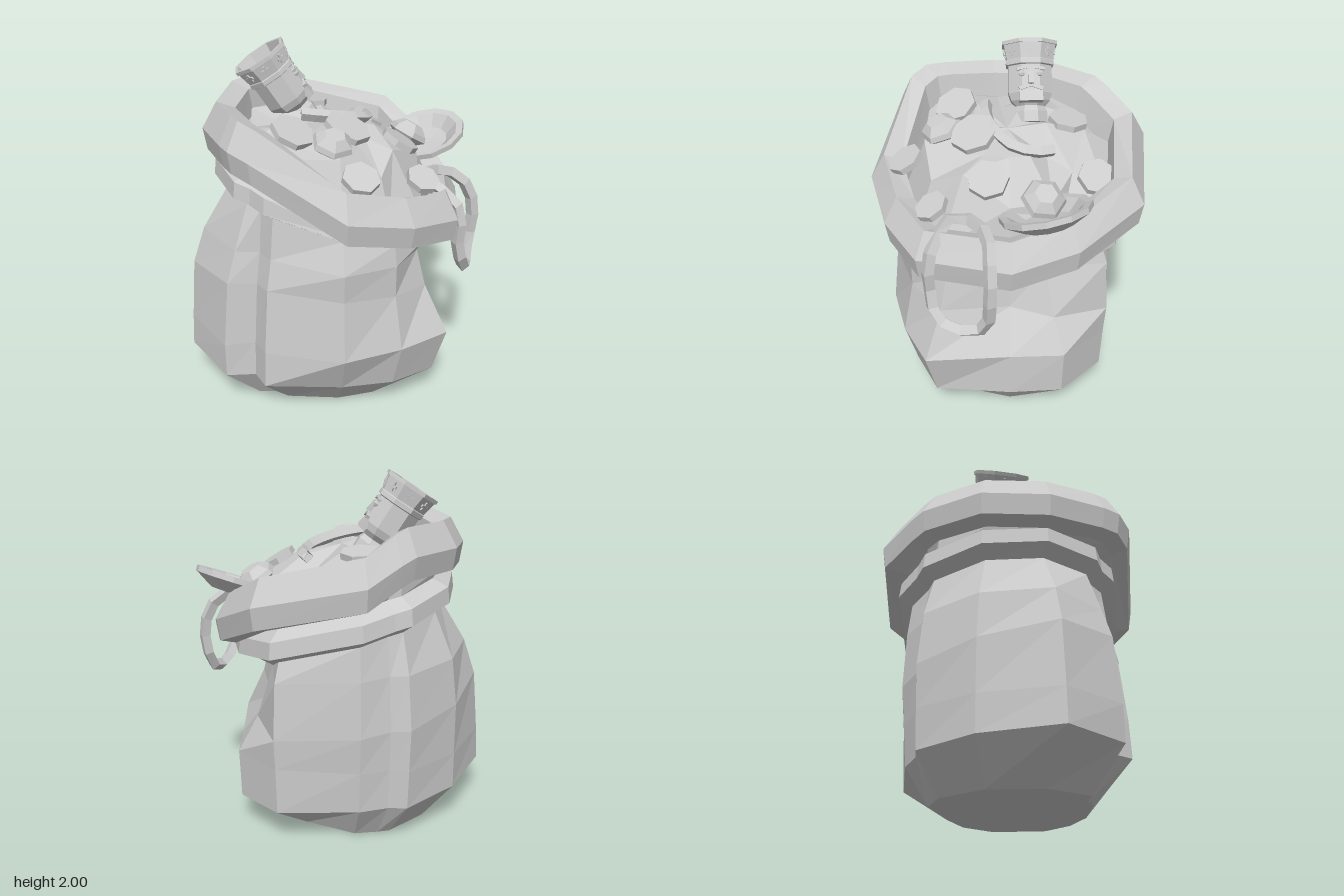
import * as THREE from 'three';

const grey = new THREE.MeshStandardMaterial({ color: 0xcccccc });
grey.name = 'plain grey';
const greyOpen = grey.clone();
greyOpen.side = THREE.DoubleSide;

// Faceted mesh with a name
function part(name, geometry, parent, material = grey) {
  const g = geometry.index ? geometry.toNonIndexed() : geometry;
  g.computeVertexNormals();
  const mesh = new THREE.Mesh(g, material);
  mesh.name = name;
  parent.add(mesh);
  return mesh;
}

// Skin closed rings of [x, y, z], from the lowest outward
function loft(rings) {
  const n = rings[0].length, index = [];
  for (let r = 0; r < rings.length - 1; r++) {
    for (let i = 0; i < n; i++) {
      const a = r * n + i, b = r * n + (i + 1) % n;
      index.push(a, a + n, b, b, a + n, b + n);
    }
  }
  const g = new THREE.BufferGeometry();
  g.setAttribute('position', new THREE.Float32BufferAttribute(rings.flat(2), 3));
  g.setIndex(index);
  return g;
}

// Column directions in degrees; narrow gaps make the cloth folds
const ANGLES = [0, 38, 62, 90, 128, 138, 146, 174, 206, 238, 246, 262, 304, 333];
const ring = (radius, height) => ANGLES.map((deg, i) => {
  const t = deg * Math.PI / 180, r = radius(i);
  const x = r * Math.cos(t), z = r * Math.sin(t);
  return [x, height(x, i, z), z];
});

// Radii of the sack by column, with height and slopes along x and z
const BODY = [
  { y: 0.015, sx: 0, sz: 0, r: [.46, .47, .44, .42, .47, .48, .55, .55, .52, .49, .47, .45, .37, .42] },
  { y: 0.21, sx: -0.04, sz: 0, r: [.59, .69, .62, .58, .69, .64, .77, .84, .70, .65, .59, .58, .65, .65] },
  { y: 0.45, sx: 0.02, sz: 0, r: [.59, .77, .69, .69, .68, .63, .77, .83, .70, .66, .60, .60, .66, .66] },
  { y: 0.72, sx: -0.08, sz: 0.12, r: [.42, .62, .62, .65, .64, .60, .73, .80, .70, .67, .61, .62, .67, .54] },
  { y: 0.96, sx: -0.06, sz: 0, r: [.38, .56, .62, .66, .60, .57, .67, .73, .67, .64, .59, .61, .65, .44] },
];
const NECK = [.54, .61, .60, .59, .57, .55, .58, .57, .56, .58, .56, .59, .61, .56];
const RIM = [.73, .79, .75, .76, .76, .76, .73, .70, .67, .68, .70, .78, .83, .76];
const RIM_Y = [1.15, 1.17, 1.22, 1.30, 1.58, 1.61, 1.61, 1.59, 1.61, 1.61, 1.58, 1.49, 1.38, 1.24];

// Height of the heap of treasure
const heapY = (x, z) => 1.61 - 0.22 * x - 0.4 * x * x - 0.5 * z * z;

function buildSack(group) {
  const rows = [ring(() => 0, () => 0.01)];
  for (const b of BODY) rows.push(ring((i) => b.r[i], (x, i, z) => b.y + b.sx * x + b.sz * z));
  // Pinched neck and the lower roll of cloth
  for (const [dr, dy] of [[0, 0], [.08, .04], [.07, .13], [-.02, .19]]) {
    rows.push(ring((i) => NECK[i] + dr, (x, i) =>
      Math.min(1.13 - 0.24 * x + dy, RIM_Y[i] - 0.15 + dy * 0.3)));
  }
  // Thick rolled rim
  for (const [dr, dy] of [[-.12, -.14], [-.02, -.12], [0, .0], [-.08, .14], [-.18, .10], [-.22, -.12]]) {
    rows.push(ring((i) => RIM[i] + dr, (x, i) => RIM_Y[i] + dy));
  }
  part('sack', loft(rows), group, greyOpen);
}

function buildHeap(group) {
  const uneven = (i, k) => 0.04 * Math.sin(i * 2.4 + k);
  const rows = [ring((i) => RIM[i] - 0.2, (x, i) => RIM_Y[i] - 0.04)];
  [0.44, 0.24, 0].forEach((r, k) => rows.push(ANGLES.map((deg, i) => {
    const t = deg * Math.PI / 180, rr = r * (1 + uneven(i, k + 2) * 3);
    const x = rr * Math.cos(t), z = rr * Math.sin(t);
    return [x, heapY(x, z) - 0.02 + (r ? uneven(i, k) : 0), z];
  })));
  part('treasureHeap', loft(rows), group);
}

// Lay an object on the heap along its slope, with an extra lean
function layOnHeap(mesh, x, z, lift, lean = [0, 0]) {
  const normal = new THREE.Vector3(0.22 + 0.8 * x + lean[0], 1, z + lean[1]).normalize();
  mesh.quaternion.setFromUnitVectors(new THREE.Vector3(0, 1, 0), normal);
  mesh.position.set(x, heapY(x, z) + lift, z);
}

function buildTreasure(group) {
  // Coins: x, z, radius, lean x, lean z
  const coins = [
    [-.09, -.34, .11, -.1, .2], [.27, -.47, .11, .1, .3], [-.23, .28, .12, .4, .1],
    [.07, .18, .13, .1, .1], [.09, .55, .10, -.1, 0], [.37, .11, .11, .1, -.1],
    [.44, .40, .09, -.3, .1],
  ];
  coins.forEach(([x, z, r, lx, lz], i) => {
    const coin = part('coin', new THREE.CylinderGeometry(r, r, 0.035, 7).rotateY(i), group);
    layOnHeap(coin, x, z, 0.02, [lx, lz]);
  });
  // Cut gems
  for (const [x, z, r] of [[-.03, .36, .115], [.47, -.17, .12]]) {
    const profile = [[0, -r * .8], [r, 0], [r * .9, r * .25], [r * .5, r * .6], [0, r * .6]];
    const gem = part('gem', new THREE.LatheGeometry(profile.map((p) => new THREE.Vector2(...p)), 6), group);
    layOnHeap(gem, x, z, 0.02);
  }
  // Half-buried bracelet
  const arc = new THREE.CatmullRomCurve3([
    [.19, -.24], [.22, -.14], [.19, -.02], [.09, .06], [-.05, .11], [-.17, .11],
  ].map(([x, z]) => new THREE.Vector3(x, heapY(x, z) + 0.03, z)));
  part('bracelet', new THREE.TubeGeometry(arc, 8, 0.035, 4), group, greyOpen);
  // Shallow dish leaning over the rim
  const dishProfile = [[0, -.06], [.14, -.05], [.24, .01], [.24, .04], [.20, .035], [.13, -.02], [0, -.03]];
  const dish = part('dish', new THREE.LatheGeometry(dishProfile.map((p) => new THREE.Vector2(...p)), 12), group);
  dish.position.set(0.575, 1.395, -0.18);
  dish.rotation.set(0.2, 0, 0.3);
  // Ring hanging over the rim
  const loop = new THREE.CatmullRomCurve3([
    [.74, .80, .26], [.78, .85, .14], [.81, 1.08, .11], [.74, 1.24, .11], [.62, 1.31, .12],
    [.50, 1.33, .20], [.48, 1.33, .31], [.58, 1.27, .38], [.65, 1.18, .42], [.645, 1.00, .42], [.69, .85, .39],
  ].map((p) => new THREE.Vector3(...p)), true);
  part('hangingRing', new THREE.TubeGeometry(loop, 16, 0.036, 4, true), group);
}

// Crowned goblet with a bearded face, facing local +x
function buildGoblet(group) {
  const goblet = new THREE.Group();
  goblet.name = 'goblet';
  goblet.position.set(-0.17, 1.60, -0.135);
  goblet.rotation.z = 0.575;
  group.add(goblet);
  const profile = [
    [0, -.06], [.10, -.06], [.10, 0], [.085, .03], [.115, .06], [.13, .10], [.13, .25],
    [.142, .255], [.142, .28], [.138, .285], [.155, .365], [.164, .365], [.164, .385],
    [.146, .385], [.12, .27], [.09, .15], [0, .12],
  ];
  const points = profile.map((p) => new THREE.Vector2(...p));
  part('gobletBowl', new THREE.LatheGeometry(points, 8).rotateY(Math.PI / 8), goblet);
  // Face features
  const box = (name, size, pos, rotZ = 0, rotX = 0) => {
    const m = part(name, new THREE.BoxGeometry(...size), goblet);
    m.position.set(...pos);
    m.rotation.set(rotX, 0, rotZ);
  };
  box('nose', [.03, .07, .03], [.122, .175, 0], 0.2);
  box('beard', [.04, .06, .13], [.108, .075, 0], 0.2);
  for (const s of [-1, 1]) {
    box('brow', [.02, .016, .06], [.118, .228, s * .048], 0, s * 0.2);
    box('moustache', [.022, .02, .065], [.12, .126, s * .034], 0, s * 0.35);
    const eye = part('eye', new THREE.SphereGeometry(.02, 6, 4), goblet);
    eye.position.set(.114, .2, s * .048);
  }
  // Raised crosses on the crown band
  for (let i = 0; i < 8; i++) {
    const stud = new THREE.Group();
    stud.name = 'crownCross';
    stud.rotation.y = i * Math.PI / 4;
    goblet.add(stud);
    for (const size of [[.012, .05, .014], [.012, .014, .045]]) {
      const bar = part('crossBar', new THREE.BoxGeometry(...size), stud);
      bar.position.set(.138, .325, 0);
      bar.rotation.z = -0.21;
    }
  }
}

export function createModel() {
  const group = new THREE.Group();
  group.name = 'treasureSack';
  buildSack(group);
  buildHeap(group);
  buildTreasure(group);
  buildGoblet(group);
  return group;
}
